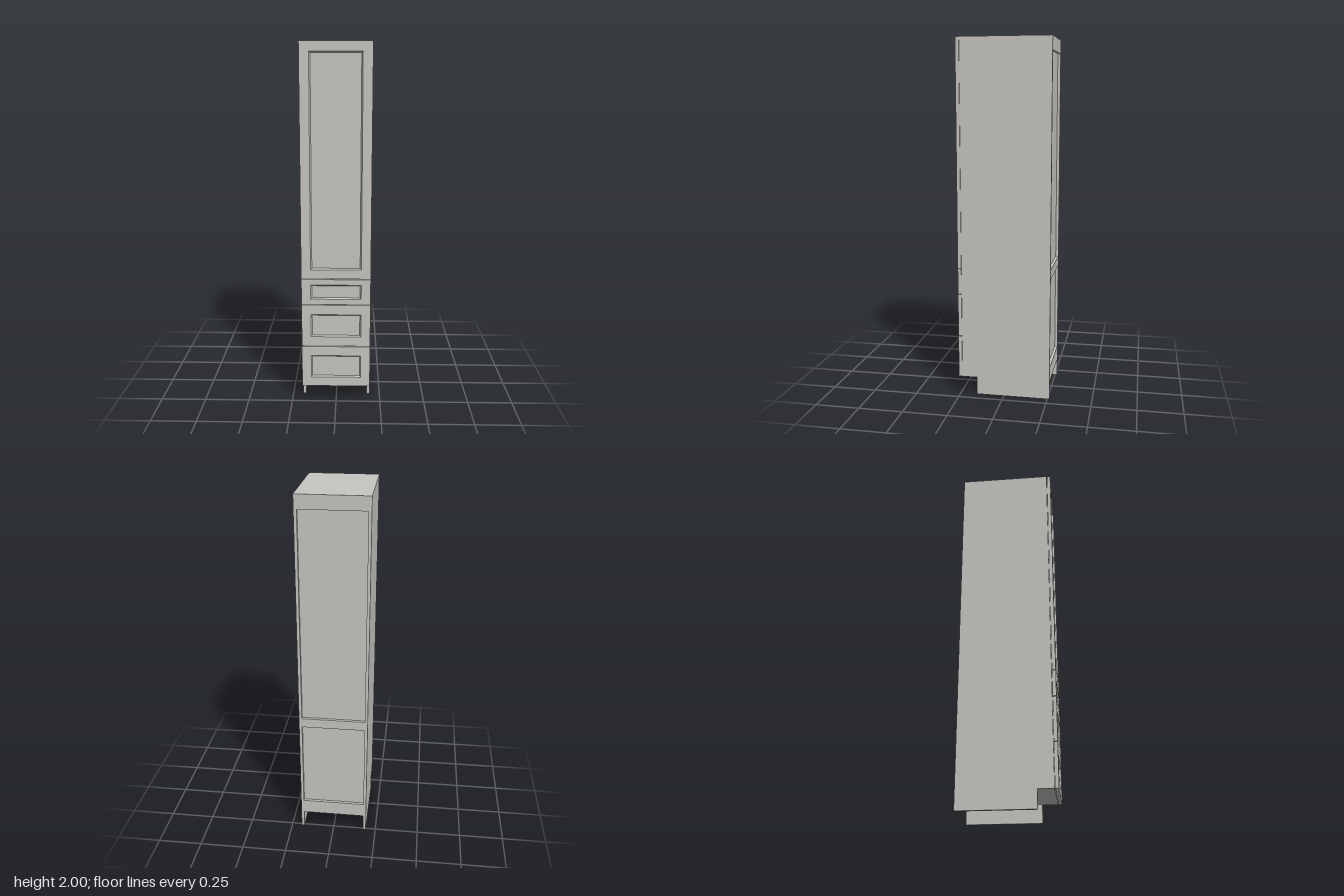
import * as THREE from 'three';

const W = 0.386, T = 0.0165, BACK = -0.262, FRONT = 0.262, BODY = 0.24, TOE = 0.1;

// Shaker front: rectangles lofted from the back face to the recessed panel
function frontGeometry(w, h, frameX, frameY) {
  const depth = FRONT - BODY - 0.002, recess = 0.008, bevel = 0.007;
  const loop = (ix, iy, z) => [[-1, -1], [1, -1], [1, 1], [-1, 1]]
    .map(([sx, sy]) => [sx * (w / 2 - ix), sy * (h / 2 - iy), z]);
  const loops = [
    loop(0, 0, 0),
    loop(0, 0, depth),
    loop(frameX, frameY, depth),
    loop(frameX + bevel, frameY + bevel, depth - recess),
  ];
  const pos = [];
  const quad = (a, b, c, d) => pos.push(...a, ...b, ...c, ...a, ...c, ...d);
  for (let k = 0; k < loops.length - 1; k++) {
    for (let i = 0; i < 4; i++) {
      const j = (i + 1) % 4;
      quad(loops[k][i], loops[k][j], loops[k + 1][j], loops[k + 1][i]);
    }
  }
  quad(...loops[3]);
  quad(...[...loops[0]].reverse());
  const g = new THREE.BufferGeometry();
  g.setAttribute('position', new THREE.Float32BufferAttribute(pos, 3));
  g.computeVertexNormals();
  return g;
}

export function createModel() {
  const group = new THREE.Group();
  const paint = new THREE.MeshStandardMaterial({ color: 0xc8c6c2 });
  paint.name = 'warm grey paint';

  const add = (name, geometry, x, y, z) => {
    const mesh = new THREE.Mesh(geometry, paint);
    mesh.name = name;
    mesh.position.set(x, y, z);
    group.add(mesh);
  };
  // Board spanning the inside width, given by its y and z ranges
  const board = (name, y0, y1, z0, z1) =>
    add(name, new THREE.BoxGeometry(W - 2 * T, y1 - y0, z1 - z0), 0, (y0 + y1) / 2, (z0 + z1) / 2);

  // Side panels with the toe-kick notch
  const side = new THREE.Shape([
    [-BACK, 0], [-BACK, 2], [-BODY, 2], [-BODY, TOE], [-0.155, TOE], [-0.155, 0],
  ].map(([x, y]) => new THREE.Vector2(x, y)));
  const sideGeometry = new THREE.ExtrudeGeometry(side, { depth: T, bevelEnabled: false });
  sideGeometry.rotateY(Math.PI / 2);
  add('rightSidePanel', sideGeometry, -W / 2, 0, 0);
  add('leftSidePanel', sideGeometry, W / 2 - T, 0, 0);

  // Carcass boards
  const railFront = BACK + 0.016;
  board('topPanel', 2 - T, 2, railFront, BODY);
  board('bottomPanel', TOE, TOE + T, railFront, BODY);
  board('fixedShelf', 0.725, 0.725 + T, railFront + 0.006, BODY);
  board('backPanel', TOE + T, 2 - T, railFront, railFront + 0.006);

  // Back rails around the two recessed openings
  for (const [name, y0, y1] of [
    ['topBackRail', 1.925, 2], ['middleBackRail', 0.69, 0.744], ['bottomBackRail', TOE, 0.183],
  ]) board(name, y0, y1, BACK, railFront);

  // Door and drawer fronts
  for (const [name, y0, y1, frameY] of [
    ['door', 0.735, 1.999, 0.052],
    ['topDrawerFront', 0.587, 0.731, 0.031],
    ['middleDrawerFront', 0.342, 0.583, 0.055],
    ['bottomDrawerFront', TOE, 0.338, 0.054],
  ]) {
    const w = W - 0.005;
    add(name, frontGeometry(w, y1 - y0, w / 2 - 0.139, frameY), 0, (y0 + y1) / 2, BODY + 0.002);
  }

  return group;
}
